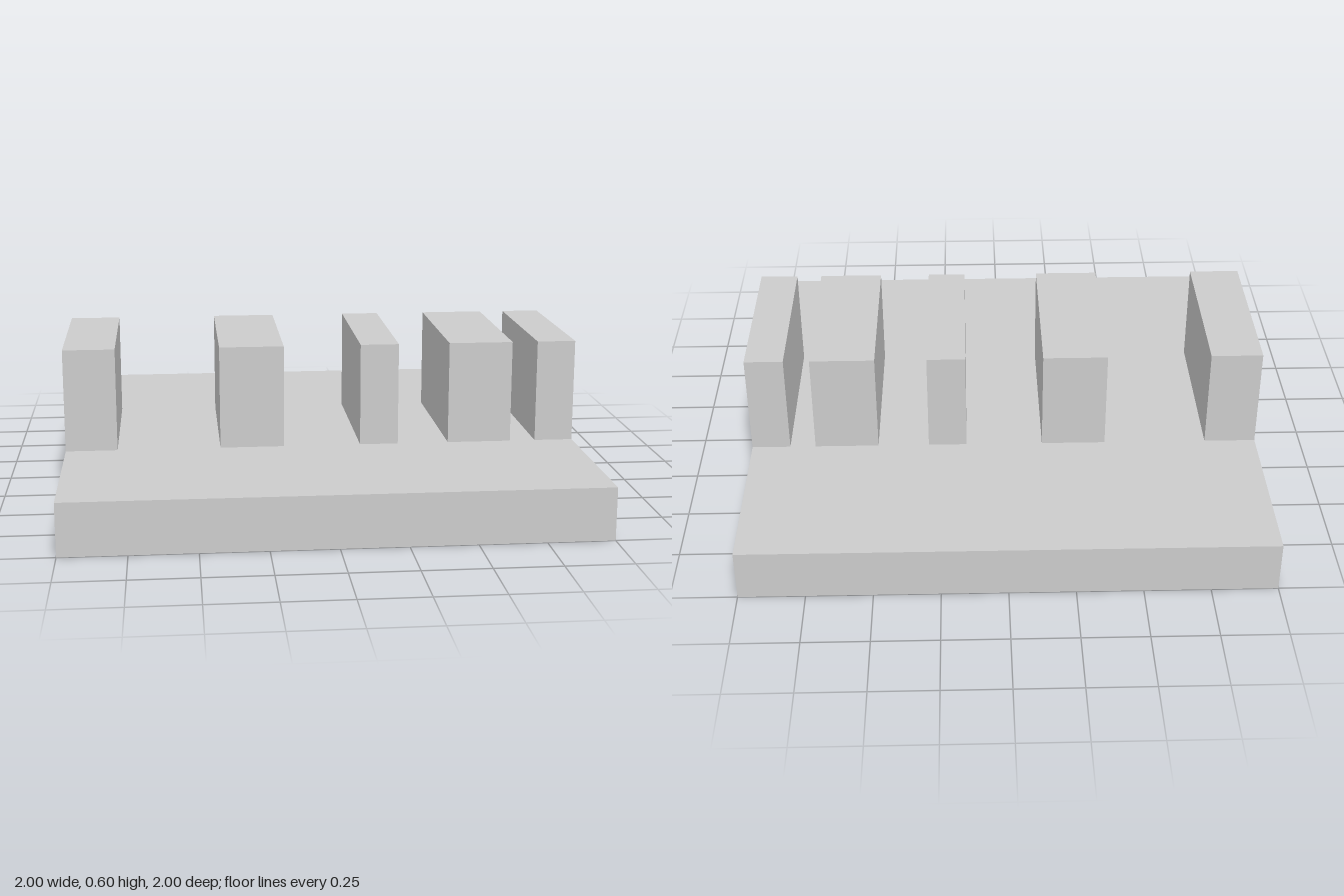
import * as THREE from 'three';

export function createModel() {
  const group = new THREE.Group();
  const material = new THREE.MeshStandardMaterial({ color: 0xcccccc, flatShading: true });

  // Axis-aligned block spanning x0..x1 and y0..y1, centred on z
  const addBlock = (name, x0, x1, y0, y1, depth) => {
    const mesh = new THREE.Mesh(new THREE.BoxGeometry(x1 - x0, y1 - y0, depth), material);
    mesh.position.set((x0 + x1) / 2, (y0 + y1) / 2, 0);
    mesh.name = name;
    group.add(mesh);
  };

  // Square base slab
  const baseTop = 0.2;
  addBlock('base', -1, 1, 0, baseTop, 2);

  // Row of upright blocks with varied widths and gaps
  const spans = [[-1, -0.8], [-0.4, -0.15], [0.15, 0.3], [0.5, 0.75], [0.85, 1]];
  spans.forEach(([x0, x1], i) => addBlock(`block${i + 1}`, x0, x1, baseTop, 0.6, 2 / 3));

  return group;
}
